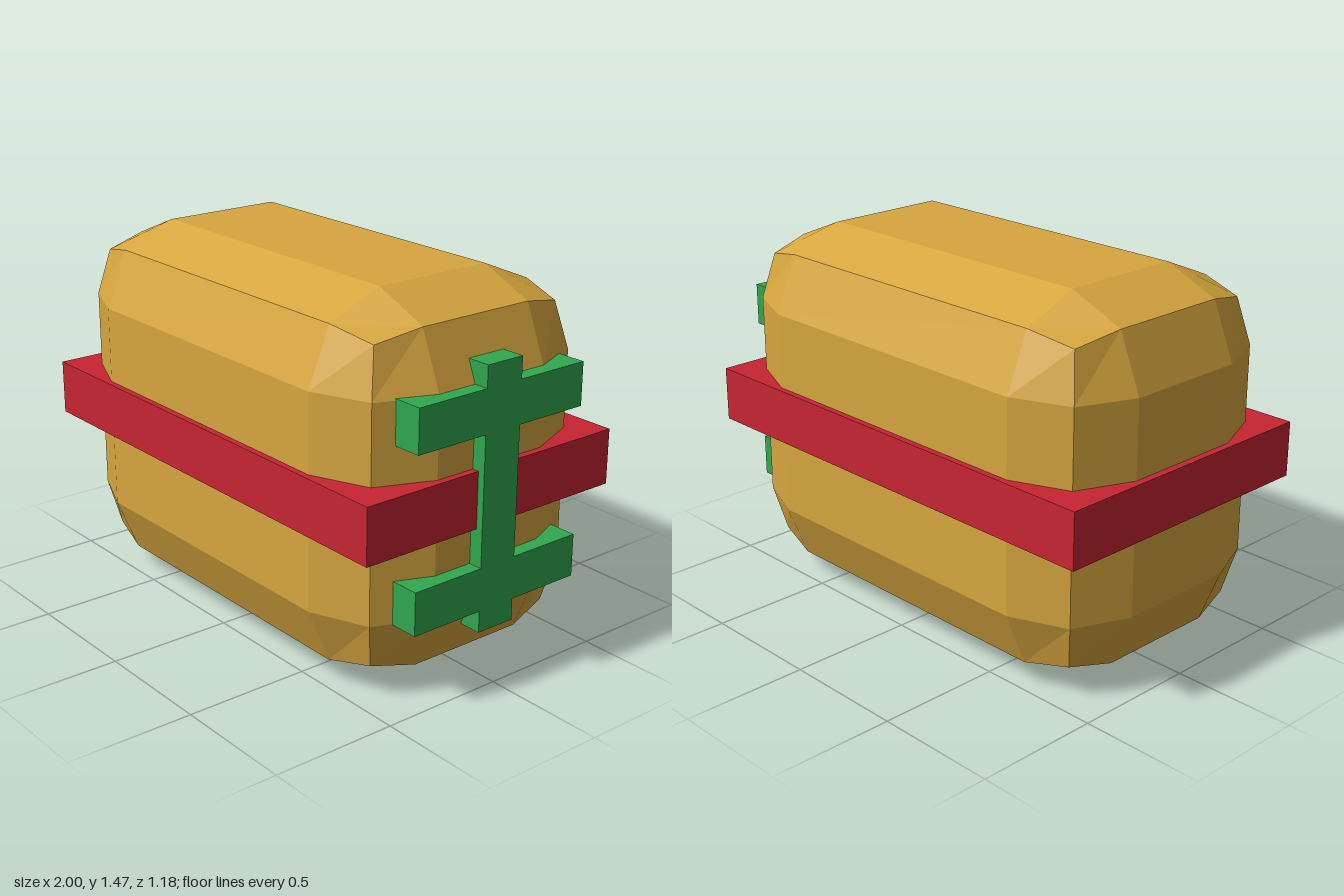
import * as THREE from 'three';

const paint = (name, color) => {
  const m = new THREE.MeshStandardMaterial({ color });
  m.name = name;
  return m;
};

// Faceted rounded block: a 3x3x3 grid box whose edges and corners are pulled in
function roundedBlock(levels) {
  const geo = new THREE.BoxGeometry(3, 3, 3, 3, 3, 3);
  const pos = geo.attributes.position;
  for (let i = 0; i < pos.count; i++) {
    const p = [pos.getX(i), pos.getY(i), pos.getZ(i)];
    const outer = p.filter((v) => Math.abs(v) > 1).length; // 1 face, 2 edge, 3 corner
    const q = p.map((v, k) => Math.sign(v) * levels[k][Math.abs(v) > 1 ? outer : 0]);
    pos.setXYZ(i, ...q);
  }
  const flat = geo.toNonIndexed();
  flat.computeVertexNormals();
  return flat;
}

export function createModel() {
  const group = new THREE.Group();
  const tan = paint('tan', 0xd7a63f);
  tan.flatShading = true;
  const red = paint('red', 0xc72532);
  const green = paint('green', 0x30a850);

  const add = (name, geo, mat, x, y, z) => {
    const mesh = new THREE.Mesh(geo, mat);
    mesh.name = name;
    mesh.position.set(x, y, z);
    group.add(mesh);
    return mesh;
  };

  // Body: per axis [flat half-width, face, edge, corner]
  add('body', roundedBlock([
    [0.64, 0.957, 0.865, 0.825],
    [0.417, 0.733, 0.64, 0.602],
    [0.25, 0.565, 0.472, 0.432],
  ]), tan, -0.015, 0.733, 0);

  // Band around the middle
  add('band', new THREE.BoxGeometry(1.97, 0.22, 1.18), red, -0.015, 0.735, 0);

  // Emblem on the side: upright with two crossbars, mirrored from one quarter
  const quarter = [[0.083, 0.507], [0.083, 0.422], [0.393, 0.422], [0.393, 0.253], [0.083, 0.253]];
  const right = [...quarter, ...quarter.map(([a, b]) => [a, -b]).reverse()];
  const outline = [...right, ...right.map(([a, b]) => [-a, b]).reverse()];
  const shape = new THREE.Shape(outline.map(([a, b]) => new THREE.Vector2(a, b)));
  const emblem = add('sideEmblem',
    new THREE.ExtrudeGeometry(shape, { depth: 0.13, bevelEnabled: false }),
    green, 0.869, 0.735, 0);
  emblem.rotation.y = Math.PI / 2;

  return group;
}
